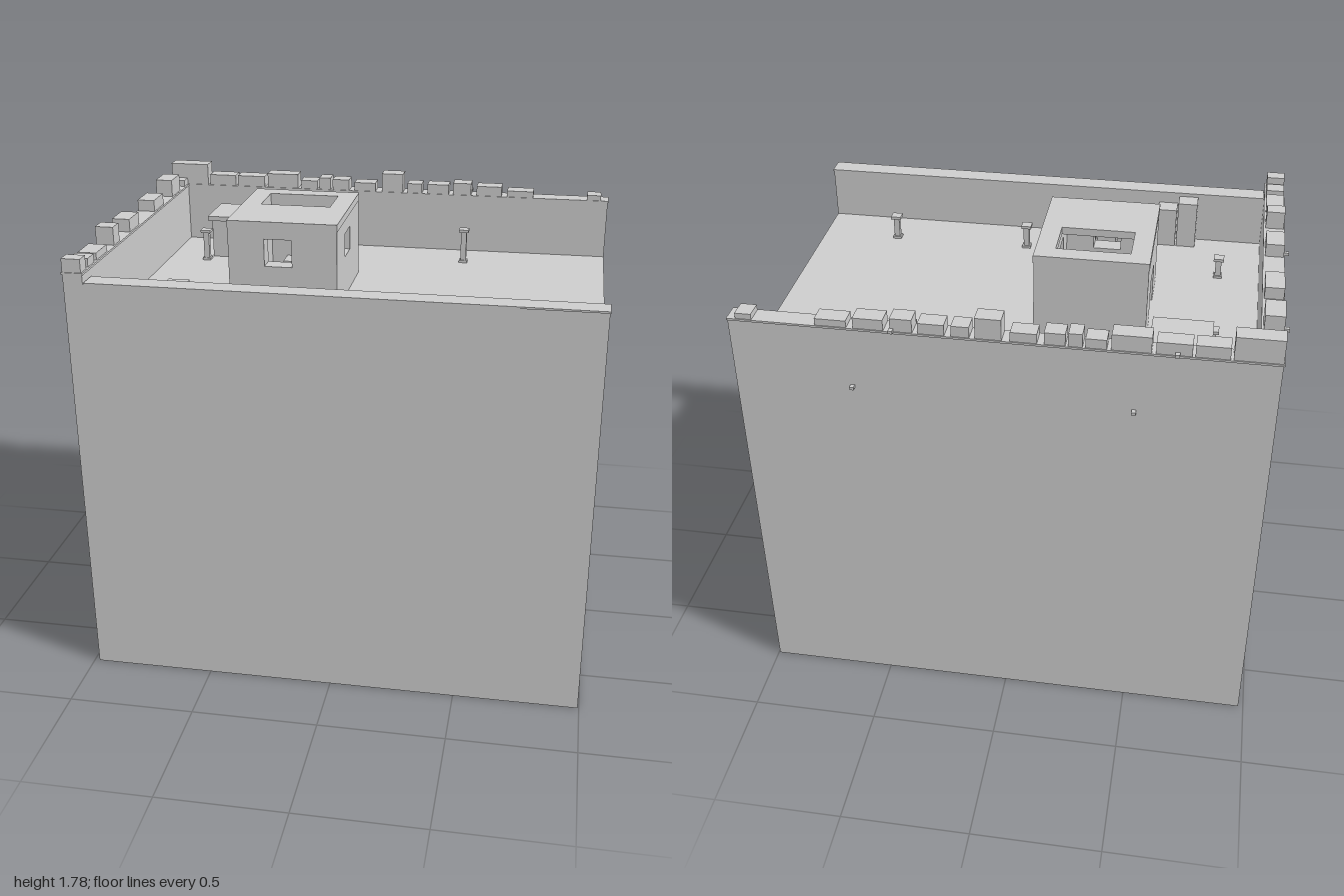
import * as THREE from 'three';

export function createModel() {
  const model = new THREE.Group();
  const stone = new THREE.MeshStandardMaterial({ color: 0xcccccc });
  stone.name = 'paleStone';
  const ROOF = 1.44;

  // Box given by its limits on each axis
  function block(name, x0, x1, y0, y1, z0, z1, parent = model) {
    const mesh = new THREE.Mesh(new THREE.BoxGeometry(x1 - x0, y1 - y0, z1 - z0), stone);
    mesh.position.set((x0 + x1) / 2, (y0 + y1) / 2, (z0 + z1) / 2);
    mesh.name = name;
    parent.add(mesh);
    return mesh;
  }

  // Rectangular plate with one rectangular opening: [left, right, bottom, top]
  function pierced(name, outer, hole, depth, parent) {
    const trace = (path, [l, r, b, t]) => {
      path.moveTo(l, b);
      path.lineTo(r, b);
      path.lineTo(r, t);
      path.lineTo(l, t);
      path.closePath();
      return path;
    };
    const shape = trace(new THREE.Shape(), outer);
    shape.holes.push(trace(new THREE.Path(), hole));
    const mesh = new THREE.Mesh(new THREE.ExtrudeGeometry(shape, { depth, bevelEnabled: false }), stone);
    mesh.name = name;
    parent.add(mesh);
    return mesh;
  }

  // Main body and parapets on three sides; the +x side stays open
  block('mainBody', -0.98, 0.995, 0, ROOF, -0.71, 0.725);
  block('leftParapet', -0.98, -0.905, ROOF, 1.685, -0.71, 0.725);
  block('backParapet', -0.905, 0.995, ROOF, 1.685, -0.71, -0.64);
  block('frontParapet', -0.905, 0.995, ROOF, 1.65, 0.65, 0.725);

  // Thin copings
  block('leftCoping', -0.984, -0.901, 1.685, 1.693, -0.714, 0.729);
  block('backCoping', -0.901, 0.998, 1.685, 1.693, -0.714, -0.636);
  block('frontCoping', -0.901, 0.998, 1.65, 1.657, 0.646, 0.729);

  // Uneven merlons: start, end, top
  const backMerlons = [
    [-0.98, -0.81, 1.785], [-0.8, -0.68, 1.74], [-0.67, -0.545, 1.74], [-0.53, -0.39, 1.755],
    [-0.375, -0.3, 1.73], [-0.29, -0.24, 1.745], [-0.23, -0.155, 1.74], [-0.13, -0.035, 1.73],
    [-0.005, 0.09, 1.775], [0.11, 0.175, 1.735], [0.2, 0.295, 1.735], [0.315, 0.395, 1.745],
    [0.42, 0.53, 1.735], [0.555, 0.67, 1.72], [0.905, 0.965, 1.715],
  ];
  for (const [a, b, top] of backMerlons) block('backMerlon', a, b, 1.69, top, -0.71, -0.64);
  const leftMerlons = [
    [-0.64, -0.588, 1.72], [-0.515, -0.4, 1.765], [-0.27, -0.145, 1.74], [0.06, 0.175, 1.745],
    [0.3, 0.365, 1.765], [0.445, 0.56, 1.72], [0.585, 0.65, 1.725], [0.67, 0.725, 1.745],
  ];
  for (const [a, b, top] of leftMerlons) block('leftMerlon', -0.98, -0.908, 1.69, top, a, b);

  // Small stone stubs sticking out of the outer walls
  for (const [z, y] of [[-0.49, 1.7], [-0.25, 1.445], [0.08, 1.7], [0.25, 1.445]])
    block('leftStub', -1, -0.975, y - 0.006, y + 0.006, z - 0.008, z + 0.008);
  for (const [x, y] of [[-0.62, 1.7], [-0.48, 1.445], [0.39, 1.7], [0.55, 1.445]])
    block('backStub', x - 0.008, x + 0.008, y - 0.006, y + 0.006, -0.73, -0.705);

  // Rooftop house with windows, a doorway and an open roof hatch
  const house = new THREE.Group();
  house.name = 'house';
  model.add(house);
  const EAVE = 1.755;
  pierced('houseFrontWall', [-0.48, -0.045, ROOF, EAVE], [-0.335, -0.225, 1.605, 1.715], 0.07, house)
    .position.z = 0.19;
  block('houseBackWall', -0.48, -0.045, ROOF, EAVE, -0.245, -0.175, house);
  const right = pierced('houseRightWall', [-0.175, 0.19, ROOF, EAVE], [-0.03, 0.085, 1.605, 1.7], 0.07, house);
  right.rotation.y = -Math.PI / 2;
  right.position.x = -0.045;
  block('doorSideWall', -0.48, -0.405, ROOF, EAVE, -0.175, -0.07, house);
  block('doorSideWall', -0.48, -0.405, ROOF, EAVE, 0.09, 0.19, house);
  block('doorLintel', -0.48, -0.405, 1.61, EAVE, -0.07, 0.09, house);
  const roof = pierced('houseRoof', [-0.482, -0.043, -0.262, 0.247], [-0.405, -0.12, 0, 0.175], 0.03, house);
  roof.rotation.x = -Math.PI / 2;
  roof.position.y = EAVE;

  // Inner stairs below the hatch
  for (let i = 0; i < 4; i++) {
    const x = -0.34 + i * 0.056;
    block('innerStep', x, x + 0.055, ROOF, 1.52 + i * 0.05, -0.175, -0.09, house);
  }
  block('innerLanding', -0.21, -0.115, ROOF, 1.64, -0.05, 0, house);

  // Steps climbing along the front parapet
  for (let i = 0; i < 6; i++) {
    const x = -0.195 - i * 0.086;
    block('parapetStep', x, x + 0.08, ROOF, 1.475 + i * 0.033, 0.575, 0.65);
  }

  // Capped chest near the back corner
  block('chestBody', -0.72, -0.525, ROOF, 1.605, -0.56, -0.365);
  block('chestLid', -0.735, -0.51, 1.605, 1.625, -0.575, -0.35);

  // Short posts with square base and cap
  const posts = [[-0.735, -0.32, 1.575], [-0.735, 0.33, 1.53], [0.095, 0.47, 1.545],
    [0.67, 0.47, 1.545], [0.385, -0.465, 1.588]];
  for (const [x, z, top] of posts) {
    const post = new THREE.Group();
    post.name = 'post';
    model.add(post);
    const slab = (name, h, y0, y1) => block(name, x - h, x + h, y0, y1, z - h, z + h, post);
    slab('postBase', 0.018, ROOF, ROOF + 0.01);
    slab('postShaft', 0.012, ROOF + 0.01, top - 0.012);
    slab('postCap', 0.021, top - 0.012, top);
  }
  return model;
}
